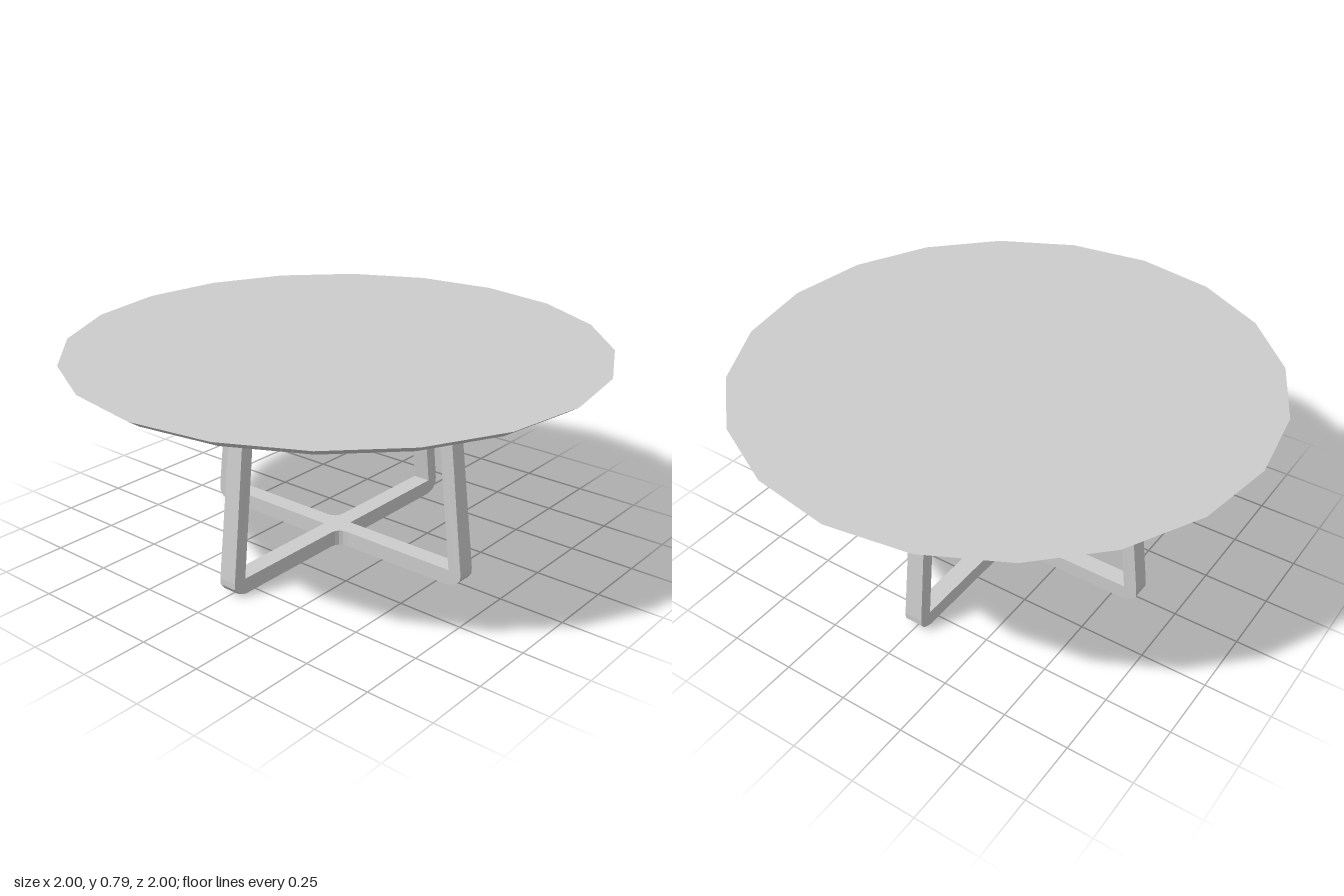
import * as THREE from 'three';

const BAR = 0.06;       // height of the floor bars
const HALF = 0.036;     // half width of the bars
const HALF_TOP = 0.031; // half width of a leg under the table top
const HUB = 0.08;       // reach of the crossing piece
const UNDERSIDE = 0.755;

const material = new THREE.MeshStandardMaterial({ color: 0xcccccc, flatShading: true });

function part(name, geometry) {
  const mesh = new THREE.Mesh(geometry, material);
  mesh.name = name;
  return mesh;
}

// Floor bar bent up into a sloping leg, narrowing slightly towards the top
function legGeometry() {
  const profile = new THREE.Shape([
    [HUB, 0], [0.55, 0], [0.585, 0.013], [0.602, 0.035], [0.602, 0.06],
    [0.518, UNDERSIDE], [0.466, UNDERSIDE], [0.55, BAR], [HUB, BAR],
  ].map(([x, y]) => new THREE.Vector2(x, y)));
  const geometry = new THREE.ExtrudeGeometry(profile, { depth: 2 * HALF, bevelEnabled: false });
  geometry.translate(0, 0, -HALF);
  const p = geometry.attributes.position;
  for (let i = 0; i < p.count; i++) {
    const t = Math.max(0, (p.getY(i) - BAR) / (UNDERSIDE - BAR));
    p.setZ(i, Math.sign(p.getZ(i)) * THREE.MathUtils.lerp(HALF, HALF_TOP, t));
  }
  geometry.computeVertexNormals();
  return geometry;
}

// Crossing piece, with two opposite inner corners rounded
function hubGeometry() {
  const s = new THREE.Shape();
  s.moveTo(HUB, -HALF);
  s.lineTo(HUB, HALF);
  s.quadraticCurveTo(HALF, HALF, HALF, HUB);
  s.lineTo(-HALF, HUB);
  s.lineTo(-HALF, HALF);
  s.lineTo(-HUB, HALF);
  s.lineTo(-HUB, -HALF);
  s.quadraticCurveTo(-HALF, -HALF, -HALF, -HUB);
  s.lineTo(HALF, -HUB);
  s.lineTo(HALF, -HALF);
  s.closePath();
  const geometry = new THREE.ExtrudeGeometry(s, { depth: BAR, bevelEnabled: false, curveSegments: 4 });
  return geometry.rotateX(Math.PI / 2).translate(0, BAR, 0);
}

export function createModel() {
  const table = new THREE.Group();
  table.name = 'roundTable';

  // Twenty-sided top with an undercut edge
  const top = part('tableTop', new THREE.CylinderGeometry(1, 0.955, 0.03, 20));
  top.position.y = UNDERSIDE + 0.015;
  table.add(top);

  // Crossed base
  const base = new THREE.Group();
  base.name = 'base';
  base.add(part('baseCrossing', hubGeometry()));
  const geometry = legGeometry();
  ['leftLeg', 'backLeg', 'rightLeg', 'frontLeg'].forEach((name, i) => {
    const leg = part(name, geometry);
    leg.rotation.y = i * Math.PI / 2;
    base.add(leg);
  });
  table.add(base);
  return table;
}
